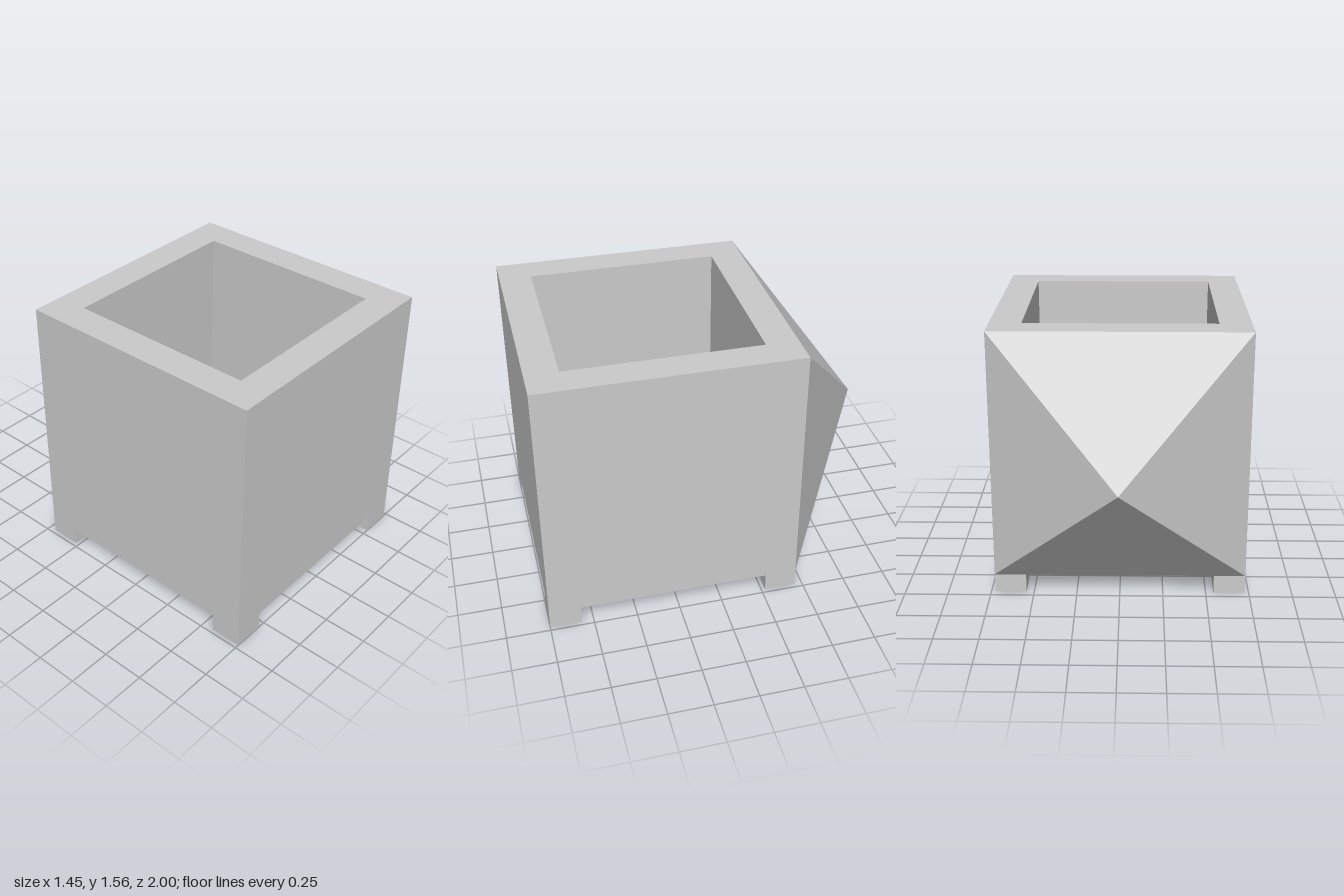
import * as THREE from 'three';

const HALF = 0.727;     // half width of the cube body
const WALL = 0.182;     // wall, floor and foot thickness
const FOOT = 0.109;     // foot height
const TOP = FOOT + 2 * HALF;
const CENTRE_Z = 1 - HALF;
const SPIKE = 0.546;    // depth of the rear pyramid

export function createModel() {
  const model = new THREE.Group();
  model.name = 'planter';
  const material = new THREE.MeshStandardMaterial({ color: 0xcccccc, flatShading: true });

  const add = (name, geometry, x, y, z) => {
    const flat = geometry.index ? geometry.toNonIndexed() : geometry;
    flat.computeVertexNormals();
    const mesh = new THREE.Mesh(flat, material);
    mesh.name = name;
    mesh.position.set(x, y, z);
    model.add(mesh);
  };

  // Open-topped square box: a four-sided lathe of the wall and floor section
  const outer = HALF * Math.SQRT2;
  const inner = (HALF - WALL) * Math.SQRT2;
  const section = [
    [0, FOOT], [outer, FOOT], [outer, TOP],
    [inner, TOP], [inner, FOOT + WALL], [0, FOOT + WALL],
  ].map(([r, y]) => new THREE.Vector2(r, y));
  add('box', new THREE.LatheGeometry(section, 4, Math.PI / 4), 0, 0, CENTRE_Z);

  // Pyramid pointing backwards, covering the whole rear face
  const pyramid = new THREE.ConeGeometry(outer, SPIKE, 4, 1, true, Math.PI / 4);
  pyramid.rotateX(-Math.PI / 2);
  add('rearPyramid', pyramid, 0, FOOT + HALF, CENTRE_Z - HALF - SPIKE / 2);

  // Four corner feet, flush with the outer walls
  const offset = HALF - WALL / 2;
  for (const [sx, side] of [[1, 'Left'], [-1, 'Right']]) {
    for (const [sz, end] of [[1, 'front'], [-1, 'back']]) {
      add(`${end}${side}Foot`, new THREE.BoxGeometry(WALL, FOOT, WALL),
        sx * offset, FOOT / 2, CENTRE_Z + sz * offset);
    }
  }
  return model;
}
